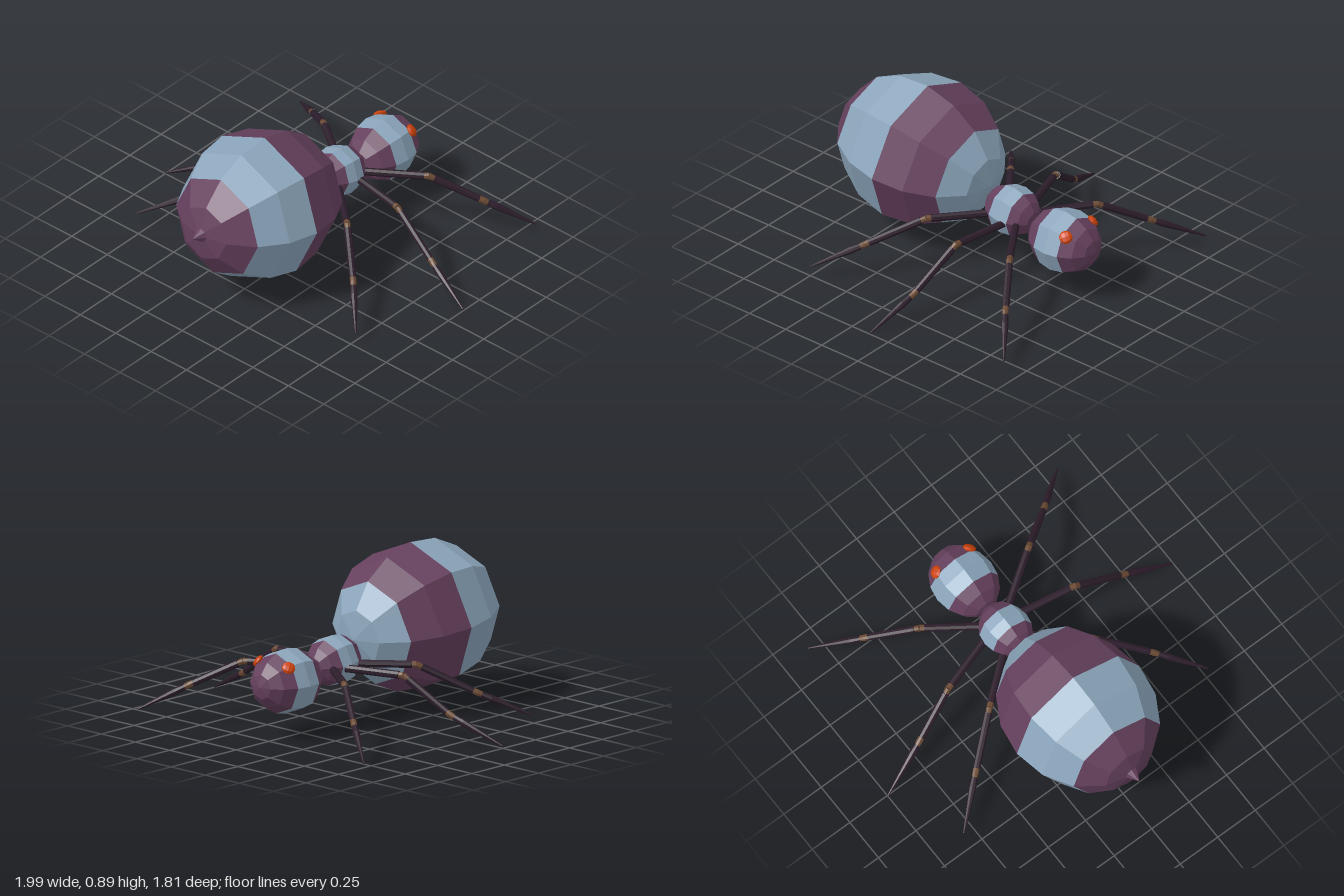
import * as THREE from 'three';

const makeMaterial = (name, color) => {
  const m = new THREE.MeshStandardMaterial({ color, flatShading: true });
  m.name = name;
  return m;
};

export function createModel() {
  const plum = makeMaterial('plum', 0x65405d);
  const blue = makeMaterial('steel blue', 0x8ca6bc);
  const dark = makeMaterial('dark leg', 0x2c1d2b);
  const brown = makeMaterial('brown joint', 0x6b4a33);
  const orange = makeMaterial('orange eye', 0xcc420a);

  const model = new THREE.Group();
  model.name = 'ant';

  const addMesh = (parent, name, geometry, material) => {
    const mesh = new THREE.Mesh(geometry, material);
    mesh.name = name;
    parent.add(mesh);
    return mesh;
  };

  // Faceted ellipsoid along z, split into coloured bands from rear to front.
  // Each band is [number of rings, material]; the rings add up to 8.
  const bandedBody = (name, position, radius, halfLength, tilt, bands) => {
    const group = new THREE.Group();
    group.name = name;
    group.position.set(...position);
    group.rotation.x = tilt;
    const step = Math.PI / 8;
    let ring = 0;
    bands.forEach(([count, material], i) => {
      const geo = new THREE.SphereGeometry(1, 8, count, 0, Math.PI * 2, ring * step, count * step);
      geo.rotateX(Math.PI / 2);
      geo.scale(radius, radius, halfLength);
      addMesh(group, `${name}Band${i + 1}`, geo, material);
      ring += count;
    });
    model.add(group);
    return group;
  };

  const abdomen = bandedBody('abdomen', [-0.01, 0.488, 0.37], 0.408, 0.483, -0.105,
    [[2, plum], [2, blue], [2, plum], [2, blue]]);
  bandedBody('thorax', [-0.01, 0.358, -0.263], 0.139, 0.158, -0.1,
    [[3, plum], [2, blue], [3, plum]]);
  const head = bandedBody('head', [-0.01, 0.312, -0.625], 0.178, 0.21, 0,
    [[3, plum], [2, blue], [3, plum]]);

  // Stinger on the rear pole
  const sting = new THREE.ConeGeometry(0.05, 0.08, 8);
  sting.rotateX(Math.PI / 2);
  addMesh(abdomen, 'stinger', sting, plum).position.z = 0.497;

  // Flattened eyes lying on the head surface
  for (const side of [-1, 1]) {
    const eye = addMesh(head, side > 0 ? 'leftEye' : 'rightEye', new THREE.SphereGeometry(1, 8, 6), orange);
    eye.scale.set(0.036, 0.036, 0.018);
    eye.position.set(side * 0.112, 0.108, -0.1);
    const normal = new THREE.Vector3(side * 3.47, 3.4, -2.27).normalize();
    eye.quaternion.setFromUnitVectors(new THREE.Vector3(0, 0, 1), normal);
  }

  // Tapered rod from a to b
  const up = new THREE.Vector3(0, 1, 0);
  const rod = (parent, name, a, b, ra, rb, material) => {
    const dir = b.clone().sub(a);
    const mesh = addMesh(parent, name, new THREE.CylinderGeometry(rb, ra, dir.length(), 8), material);
    mesh.position.copy(a).add(b).multiplyScalar(0.5);
    mesh.quaternion.setFromUnitVectors(up, dir.normalize());
  };
  const along = (from, to, d) => from.clone().add(to.clone().sub(from).setLength(d));

  // Legs: hip, knee, ankle and tip of each
  const legs = {
    frontLeftLeg: [[0.05, 0.34, -0.34], [0.37, 0.34, -0.56], [0.605, 0.2, -0.73], [0.82, 0.058, -0.9]],
    middleLeftLeg: [[0.08, 0.338, -0.3], [0.43, 0.338, -0.24], [0.72, 0.145, -0.19], [0.995, 0.006, -0.123]],
    rearLeftLeg: [[0.05, 0.338, -0.19], [0.33, 0.338, 0.05], [0.57, 0.2, 0.275], [0.77, 0.075, 0.482]],
    frontRightLeg: [[-0.07, 0.34, -0.34], [-0.365, 0.34, -0.55], [-0.6, 0.2, -0.725], [-0.84, 0.058, -0.9]],
    middleRightLeg: [[-0.1, 0.338, -0.297], [-0.45, 0.338, -0.187], [-0.71, 0.15, -0.098], [-0.995, 0.012, 0.003]],
    rearRightLeg: [[-0.07, 0.338, -0.19], [-0.34, 0.338, 0.03], [-0.59, 0.19, 0.235], [-0.82, 0.065, 0.433]],
  };
  for (const [name, points] of Object.entries(legs)) {
    const [hip, knee, ankle, tip] = points.map((p) => new THREE.Vector3(...p));
    const leg = new THREE.Group();
    leg.name = name;
    model.add(leg);
    rod(leg, 'thigh', hip, along(knee, hip, 0.025), 0.021, 0.021, dark);
    rod(leg, 'shin', along(knee, ankle, 0.03), along(ankle, knee, 0.025), 0.021, 0.019, dark);
    // Foot swells just past the ankle, then narrows to the tip
    const swell = along(ankle, tip, 0.08);
    rod(leg, 'footUpper', along(ankle, tip, 0.025), swell, 0.016, 0.02, dark);
    rod(leg, 'footTip', swell, tip, 0.02, 0.005, dark);
    // Brown joints bridge the gaps
    for (const [before, joint, after] of [[hip, knee, ankle], [knee, ankle, tip]]) {
      rod(leg, 'jointInner', along(joint, before, 0.035), joint, 0.017, 0.018, brown);
      rod(leg, 'jointOuter', joint, along(joint, after, 0.035), 0.018, 0.015, brown);
    }
  }
  return model;
}
